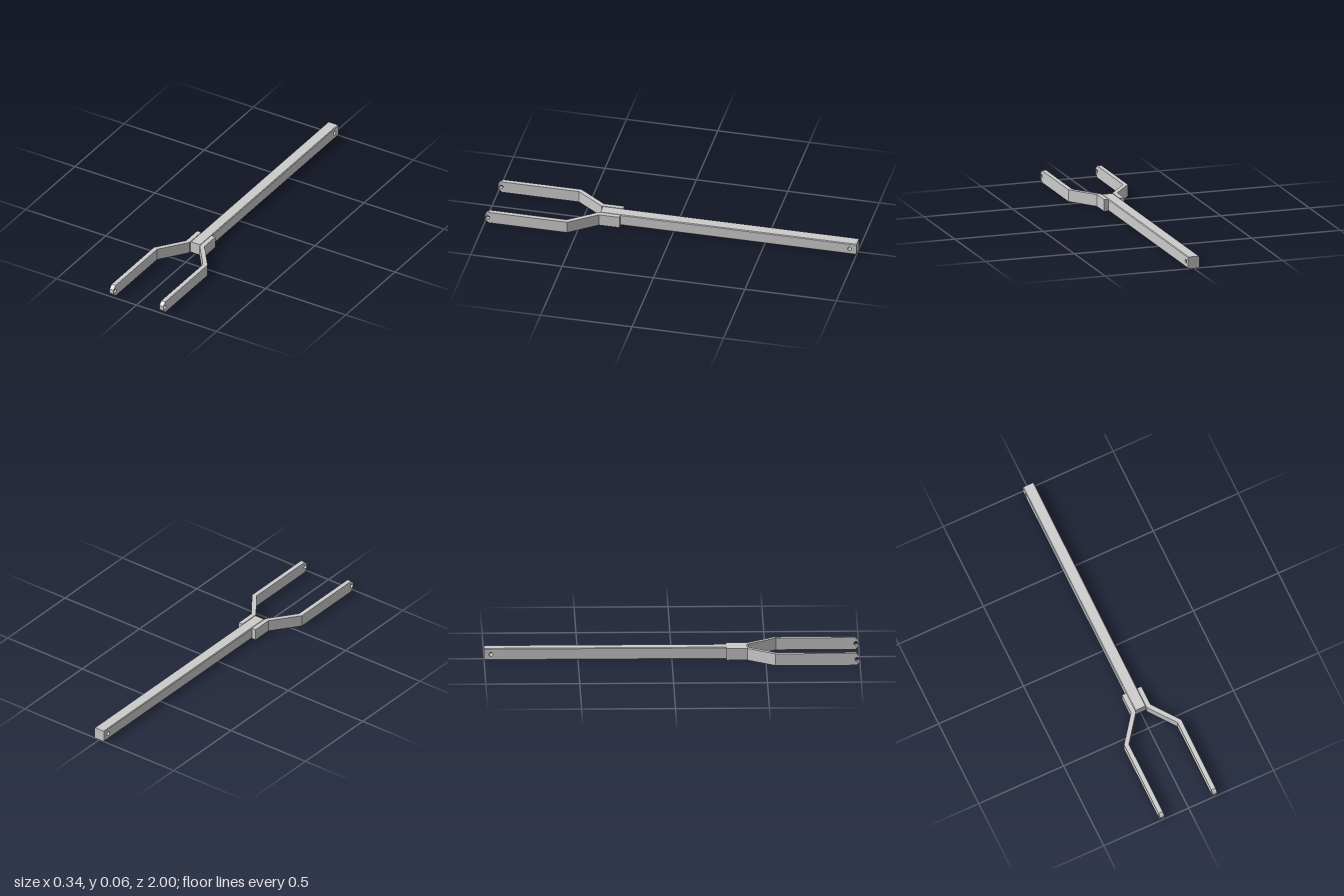
import * as THREE from 'three';
import { toCreasedNormals } from 'three/addons/utils/BufferGeometryUtils.js';

const H = 0.065; // common height of all bars
const HALF = 0.032; // half width of the shaft
const BEVEL = 0.004;

const material = new THREE.MeshStandardMaterial({ color: 0xcccccc });

function makeShape(points) {
  return new THREE.Shape(points.map(([a, b]) => new THREE.Vector2(a, b)));
}

// Side outline in (z, y) with a cross hole, extruded along x and centred on x = 0
function sideBar(points, holeZ, holeR, width, steps = 1) {
  const shape = makeShape(points);
  shape.holes.push(new THREE.Path().absarc(holeZ, H / 2, holeR, 0, Math.PI * 2, true));
  const geo = new THREE.ExtrudeGeometry(shape, { depth: width, steps, bevelEnabled: false, curveSegments: 24 });
  return geo.rotateY(-Math.PI / 2).translate(width / 2, 0, 0);
}

function addMesh(group, geo, name) {
  const mesh = new THREE.Mesh(toCreasedNormals(geo, 0.5), material);
  mesh.name = name;
  group.add(mesh);
  return mesh;
}

export function createModel() {
  const model = new THREE.Group();
  model.name = 'forkedLinkRod';

  // Long shaft: the outermost layers are pinched in y to chamfer the long edges
  const shaft = sideBar([[-1, 0], [0.4, 0], [0.4, H], [-1, H]], -0.963, 0.011, HALF * 2, 16);
  const pos = shaft.attributes.position;
  for (let i = 0; i < pos.count; i++) {
    if (Math.abs(pos.getX(i)) > HALF - BEVEL / 2) {
      pos.setY(i, THREE.MathUtils.clamp(pos.getY(i), BEVEL, H - BEVEL));
    }
  }
  addMesh(model, shaft, 'shaft');

  // Two mirrored fork arms
  const inner = 0.143, outer = 0.168, bendZ = 0.558;
  for (const side of [1, -1]) {
    const arm = new THREE.Group();
    arm.name = side > 0 ? 'leftForkArm' : 'rightForkArm';

    // Flange against the shaft and the splayed bend, drawn in plan (x, z)
    const plan = [
      [HALF, 0.29], [0.057, 0.29], [0.057, 0.402], [outer, 0.55],
      [outer, bendZ], [inner, bendZ], [HALF, 0.41],
    ].map(([x, z]) => [x * side, z]);
    const bend = new THREE.ExtrudeGeometry(makeShape(plan), { depth: H, bevelEnabled: false });
    addMesh(arm, bend.rotateX(Math.PI / 2).translate(0, H, 0), 'flangeAndBend');

    // Straight prong with a chamfered tip and pin hole
    const prong = sideBar(
      [[bendZ, 0], [0.98, 0], [1, 0.02], [1, 0.046], [0.98, H], [bendZ, H]],
      0.984, 0.011, outer - inner
    );
    addMesh(arm, prong.translate(side * (inner + outer) / 2, 0, 0), 'prong');
    model.add(arm);
  }
  return model;
}
